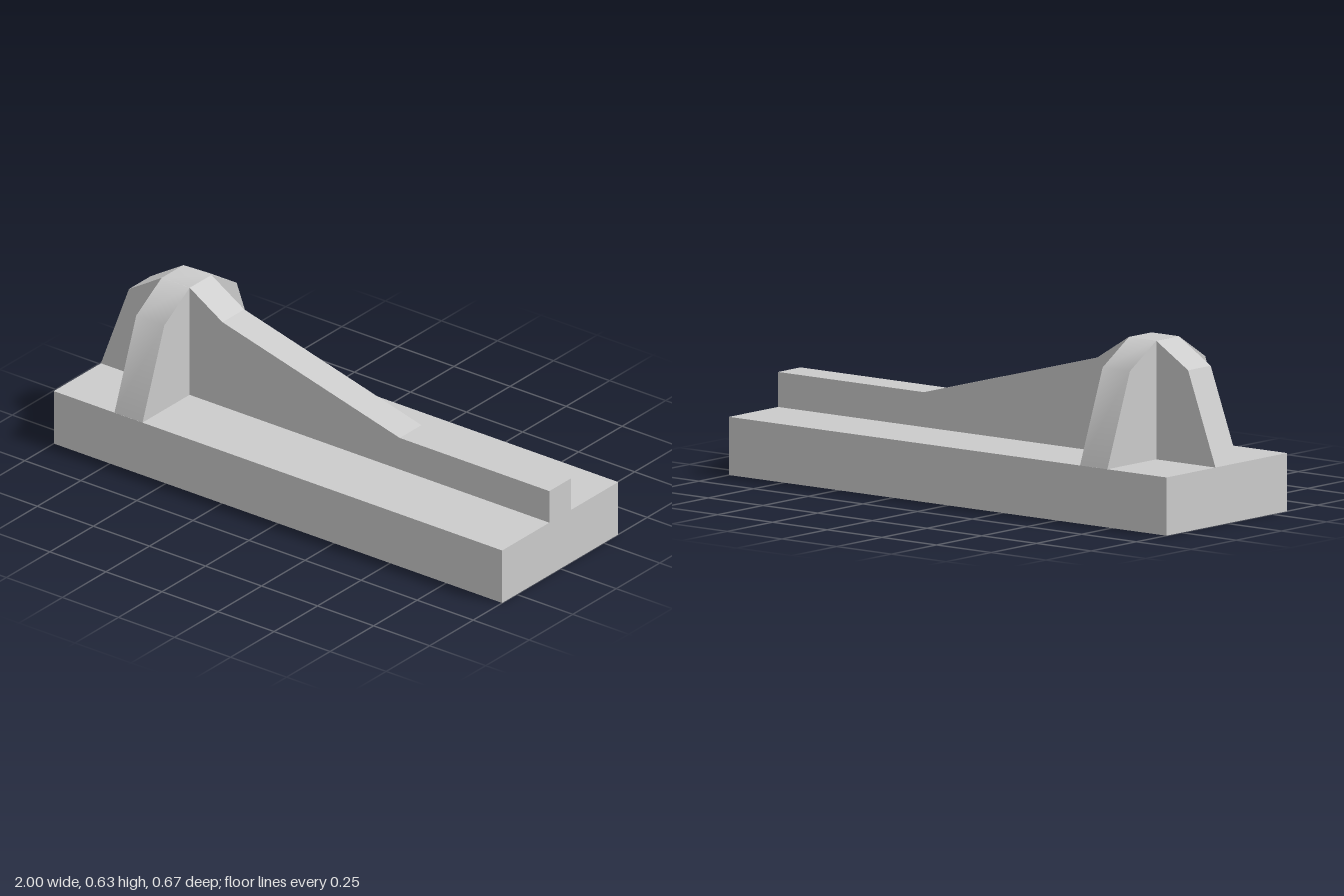
import * as THREE from 'three';
import { toCreasedNormals } from 'three/addons/utils/BufferGeometryUtils.js';

const BASE_TOP = 0.208;
const WALL = 0.125; // thickness of both upright walls
const CROSS_X = -0.667; // where the cross wall meets the long wall

// Extrudes an outline to the wall thickness, centred on z = 0.
function wallGeometry(points) {
  const shape = new THREE.Shape(points.map(([x, y]) => new THREE.Vector2(x, y)));
  const geometry = new THREE.ExtrudeGeometry(shape, { depth: WALL, bevelEnabled: false });
  return geometry.translate(0, 0, -WALL / 2);
}

export function createModel() {
  const group = new THREE.Group();
  const material = new THREE.MeshStandardMaterial({ color: 0xcccccc });
  const add = (name, geometry) => {
    const mesh = new THREE.Mesh(geometry, material);
    mesh.name = name;
    group.add(mesh);
    return mesh;
  };

  // Rectangular base slab
  add('base', new THREE.BoxGeometry(2, BASE_TOP, 0.667).translate(0, BASE_TOP / 2, 0));

  // Long wall sloping down to a low rail
  add('longWall', wallGeometry([
    [-1, BASE_TOP], [1, BASE_TOP], [1, 0.333], [0.333, 0.333],
    [-0.458, 0.542], [-0.604, 0.632], [-0.729, 0.632], [-0.875, 0.542],
  ]));

  // Arched cross wall, its outer strip smoothly shaded
  const half = [[0.333, BASE_TOP], [0.208, 0.542], [0.0625, 0.632]];
  const mirrored = half.map(([z, y]) => [-z, y]).reverse();
  const cross = toCreasedNormals(wallGeometry([...half, ...mirrored]), Math.PI / 4);
  add('crossWall', cross.rotateY(Math.PI / 2).translate(CROSS_X, 0, 0));

  return group;
}
